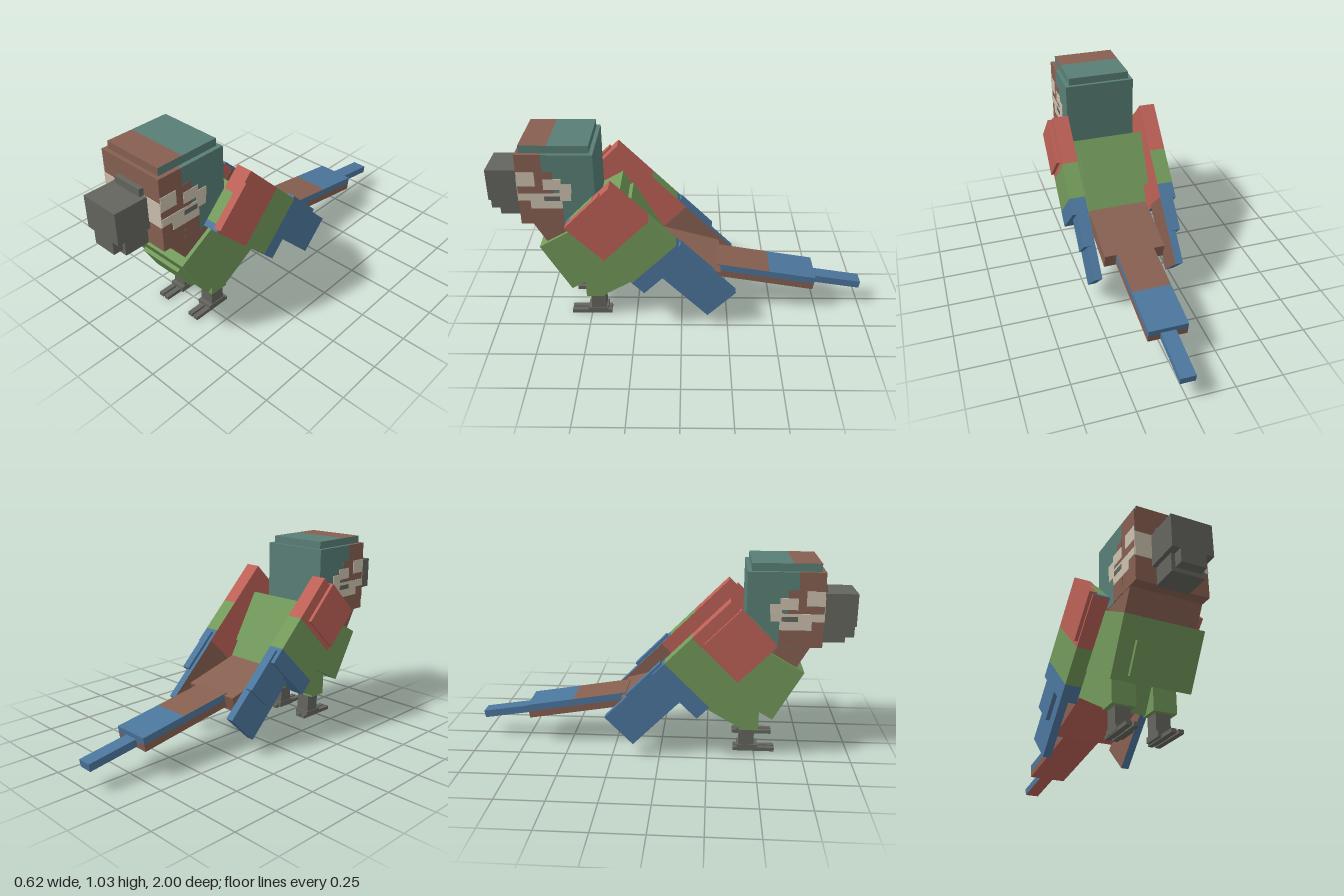
import * as THREE from 'three';

const PALETTE = {
  red: 0xbd6157, green: 0x739a5b, blue: 0x4c769d, teal: 0x587f76,
  brown: 0x876051, cream: 0xccc0ae, grey: 0x64655e,
};

export function createModel() {
  const mats = {};
  for (const [name, color] of Object.entries(PALETTE)) {
    mats[name] = new THREE.MeshStandardMaterial({ color });
    mats[name].name = name;
  }
  const model = new THREE.Group();
  model.name = 'bird';

  // Box from ranges; "faces" overrides the colour of single sides
  const ORDER = ['px', 'nx', 'top', 'bottom', 'front', 'back'];
  function box(parent, name, [x0, x1], [y0, y1], [z0, z1], color, faces) {
    const geo = new THREE.BoxGeometry(Math.abs(x1 - x0), y1 - y0, z1 - z0);
    const mat = faces ? ORDER.map((f) => mats[faces[f] || color]) : mats[color];
    const mesh = new THREE.Mesh(geo, mat);
    mesh.name = name;
    mesh.position.set((x0 + x1) / 2, (y0 + y1) / 2, (z0 + z1) / 2);
    parent.add(mesh);
    return mesh;
  }
  // Group centred at (y, z), pitched about x
  function tilted(name, y, z, deg) {
    const g = new THREE.Group();
    g.name = name;
    g.position.set(0, y, z);
    g.rotation.x = THREE.MathUtils.degToRad(deg);
    model.add(g);
    return g;
  }
  const mid = (size) => [-size / 2, size / 2];

  // Body, all leaning back by 30 degrees
  box(tilted('chest', 0.4625, 0.457, 30), 'chestBlock', mid(0.42), mid(0.302), mid(0.474), 'green');
  box(tilted('belly', 0.396, 0.353, 30), 'bellyBlock', mid(0.34), mid(0.369), mid(0.407), 'green');
  box(tilted('breast', 0.315, 0.634, 30), 'breastPlate', mid(0.256), mid(0.165), mid(0.06), 'green');
  box(tilted('neck', 0.61, 0.59, 30), 'neckBlock', mid(0.38), mid(0.25), mid(0.3), 'brown');

  // Head: brown face, teal back
  const head = new THREE.Group();
  head.name = 'head';
  model.add(head);
  box(head, 'face', mid(0.385), [0.605, 0.99], [0.69, 0.82], 'brown');
  box(head, 'headBack', mid(0.385), [0.605, 0.99], [0.435, 0.69], 'teal', { bottom: 'brown' });
  box(head, 'crownFront', mid(0.34), [0.99, 1.03], [0.66, 0.8], 'brown', { px: 'teal', nx: 'teal' });
  box(head, 'crownBack', mid(0.34), [0.99, 1.03], [0.455, 0.66], 'teal');
  box(head, 'faceBand', mid(0.385), [0.735, 0.865], [0.818, 0.823], 'cream');

  // Cheek and eye patches on both sides: y range, z range, colour, layer
  const patches = [
    ['cheek', [0.607, 0.76], [0.6, 0.69], 'brown', 1],
    ['cheekUpper', [0.76, 0.9], [0.64, 0.69], 'brown', 1],
    ['browPatch', [0.82, 0.895], [0.73, 0.82], 'cream', 2],
    ['rearPatch', [0.8, 0.86], [0.6, 0.69], 'cream', 2],
    ['cheekBand', [0.74, 0.78], [0.555, 0.82], 'cream', 2],
    ['lowerPatch', [0.695, 0.74], [0.6, 0.76], 'cream', 2],
    ['earPatch', [0.78, 0.83], [0.55, 0.61], 'cream', 2],
    ['eye', [0.74, 0.765], [0.61, 0.69], 'grey', 3],
  ];
  for (const s of [1, -1])
    for (const [name, y, z, color, layer] of patches)
      box(head, name, [s * 0.19, s * (0.1925 + 0.0015 * layer)], y, z, color);

  // Beak
  box(head, 'upperBeak', mid(0.214), [0.695, 0.865], [0.81, 1], 'grey');
  box(head, 'beakHook', mid(0.13), [0.625, 0.695], [0.95, 1], 'grey');
  box(head, 'lowerBeak', mid(0.17), [0.602, 0.695], [0.81, 0.95], 'grey');
  box(head, 'beakBridge', mid(0.17), [0.865, 0.905], [0.81, 0.845], 'grey');

  // Rump and tail
  box(tilted('rump', 0.2975, -0.0285, -15.6), 'rumpBlock', mid(0.334), mid(0.085), mid(0.352),
    'brown', { bottom: 'red' });
  const tail = tilted('tail', 0.2205, -0.4565, -9.3);
  box(tail, 'tailCoverts', mid(0.208), [0, 0.0375], [-0.018, 0.276], 'blue', { top: 'brown', front: 'brown' });
  box(tail, 'tailFeathers', mid(0.208), [0, 0.0375], [-0.276, -0.018], 'blue');
  box(tail, 'tailUnderside', mid(0.208), [-0.0375, 0], [-0.276, 0.276], 'brown', { bottom: 'red' });
  box(tilted('tailTip', 0.146, -0.862, -8.8), 'tailTipFeather', mid(0.08), mid(0.04), mid(0.273),
    'blue', { bottom: 'red' });

  for (const s of [1, -1]) {
    const side = s > 0 ? 'left' : 'right';
    const inner = s > 0 ? 'nx' : 'px';
    const X = (a, b) => [s * a, s * b];

    // Wing: three colour bands along its length, red inside
    const wing = tilted(side + 'Wing', 0.551, 0.275, 45);
    const bands = [['wingTop', 0.01, 0.275, 'red'], ['wingMiddle', -0.185, 0.01, 'green'], ['wingEnd', -0.275, -0.185, 'blue']];
    for (const [name, y0, y1, color] of bands)
      box(wing, name, X(0.206, 0.292), [y0, y1], mid(0.325), color, { [inner]: 'red' });
    box(wing, 'leadingPatch', X(0.206, 0.265), [0.272, 0.278], [-0.035, 0.13], 'green');
    box(wing, 'leadingStripe', X(0.206, 0.292), [0.272, 0.278], [0.13, 0.1625], 'blue');

    box(tilted(side + 'Shoulder', 0.647, 0.406, 45), 'shoulderPlate', X(0.27, 0.31), mid(0.25), mid(0.25), 'red');
    box(tilted(side + 'Primary', 0.275, -0.08, 45), 'longFeather', X(0.205, 0.248), mid(0.38), mid(0.21),
      'blue', { [inner]: 'brown' });
    box(tilted(side + 'Secondary', 0.385, -0.027, 45), 'shortFeather', X(0.225, 0.27), mid(0.25), mid(0.16), 'blue');

    // Leg and foot
    const leg = new THREE.Group();
    leg.name = side + 'Leg';
    model.add(leg);
    box(leg, 'thigh', X(0.045, 0.17), [0.132, 0.3], [0.42, 0.52], 'green');
    box(leg, 'shank', X(0.066, 0.144), [0.02, 0.2], [0.42, 0.5], 'grey');
    box(leg, 'foot', X(0.063, 0.148), [0.006, 0.036], [0.41, 0.52], 'grey');
    for (const x of [0.08, 0.118])
      box(leg, 'toe', X(x, x + 0.027), [0, 0.02], [0.39, 0.61], 'grey');
  }
  return model;
}
